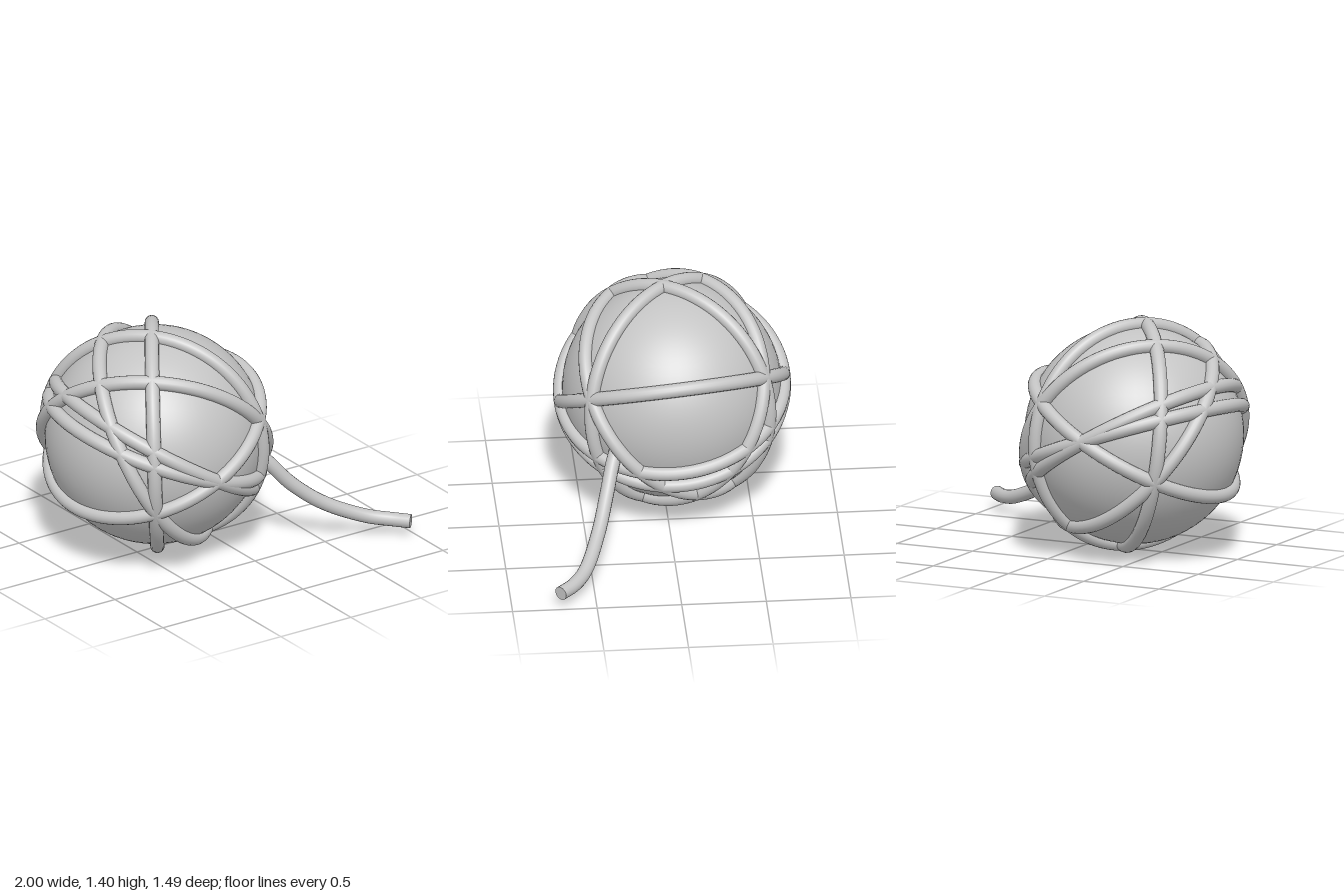
import * as THREE from 'three';

const CENTER = new THREE.Vector3(-0.34, 0.702, -0.05);
const CORE_RADIUS = 0.648;
const STRAND_PATH = 0.66; // radius of each wrapped loop
const STRAND = 0.042; // thickness of the yarn

export function createModel() {
  const model = new THREE.Group();
  model.name = 'yarnBall';
  const yarn = new THREE.MeshStandardMaterial({ color: 0xc4c4c4 });
  yarn.name = 'grey yarn';

  const add = (parent, name, geometry) => {
    const mesh = new THREE.Mesh(geometry, yarn);
    mesh.name = name;
    parent.add(mesh);
    return mesh;
  };

  // Solid ball with the loops wound around it
  const ball = new THREE.Group();
  ball.name = 'ball';
  ball.position.copy(CENTER);
  model.add(ball);
  add(ball, 'core', new THREE.SphereGeometry(CORE_RADIUS, 64, 40));

  // Each loop is a great circle, given by the axis it turns about
  const axes = [
    [0.825, 0.027, 0.564],
    [0.764, 0.112, -0.636],
    [0.623, 0.464, 0.63],
    [0.496, 0.629, -0.598],
    [-0.479, 0.873, 0.085],
    [0.339, 0.935, 0.102],
    [0.513, 0.854, 0.087],
  ];
  const loop = new THREE.TorusGeometry(STRAND_PATH, STRAND, 16, 96);
  const forward = new THREE.Vector3(0, 0, 1);
  axes.forEach((axis, i) => {
    const strand = add(ball, `woundStrand${i + 1}`, loop);
    strand.quaternion.setFromUnitVectors(forward, new THREE.Vector3(...axis).normalize());
  });

  // Loose end trailing down to the ground
  const path = new THREE.CatmullRomCurve3([
    [0.12, 0.62, 0.3],
    [0.21, 0.52, 0.345],
    [0.33, 0.38, 0.39],
    [0.52, 0.23, 0.455],
    [0.76, 0.12, 0.55],
    [0.88, 0.097, 0.625],
    [0.968, 0.092, 0.712],
  ].map((p) => new THREE.Vector3(...p)));
  add(model, 'looseEnd', new THREE.TubeGeometry(path, 40, STRAND, 16));

  // Cut face closing the loose end
  const cut = add(model, 'cutFace', new THREE.CircleGeometry(STRAND, 16));
  cut.position.copy(path.getPoint(1));
  cut.quaternion.setFromUnitVectors(forward, path.getTangent(1));

  return model;
}
